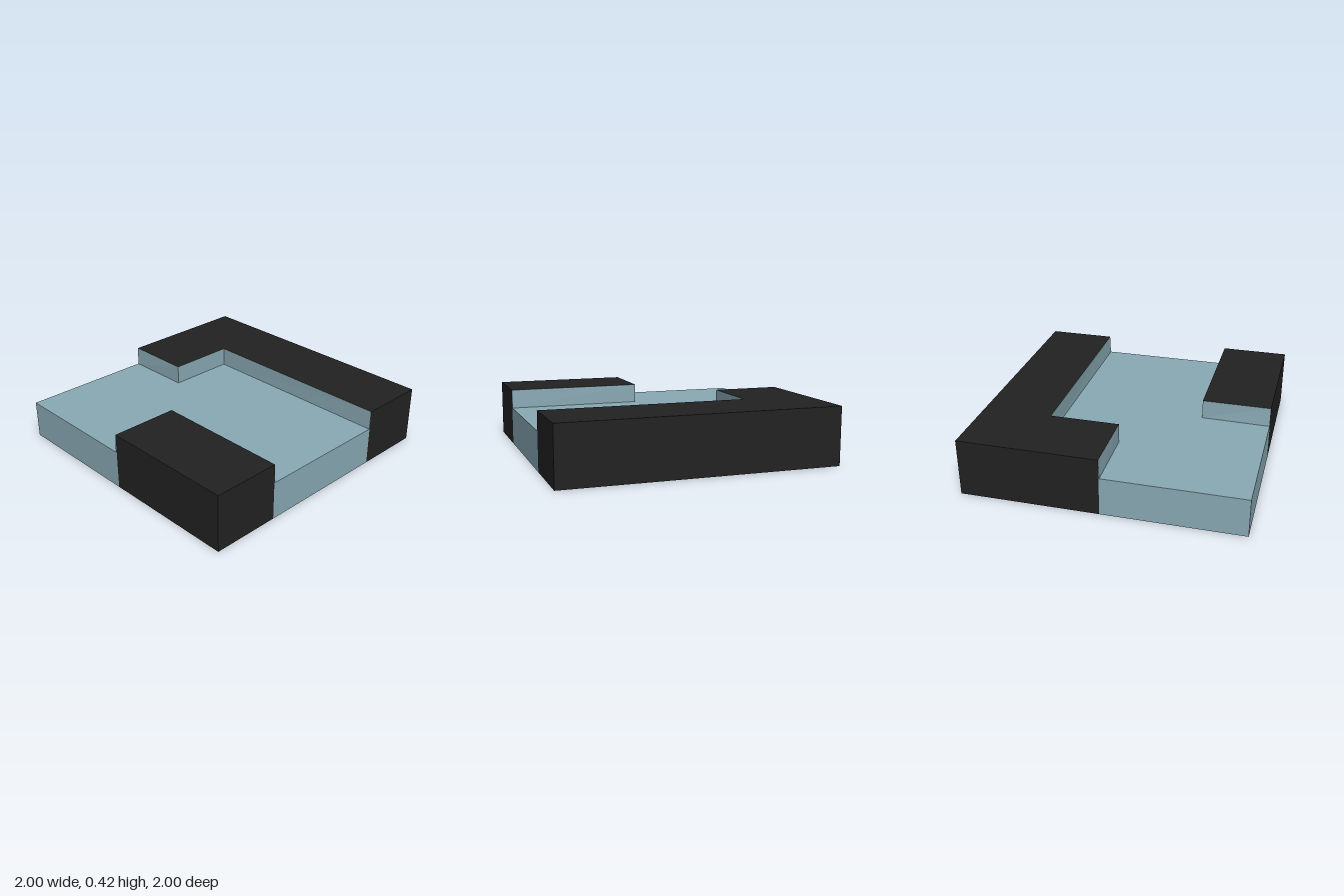
import * as THREE from 'three';
import { mergeGeometries } from 'three/addons/utils/BufferGeometryUtils.js';

const FLOOR = 0.28, TOP = 0.42;

// Flat polygon from [x, z] points at height y, facing up or down
function cap(points, y, up) {
  const s = up ? -1 : 1;
  const shape = new THREE.Shape(points.map(([x, z]) => new THREE.Vector2(x, s * z)));
  const g = new THREE.ShapeGeometry(shape).rotateX(s * Math.PI / 2).translate(0, y, 0).toNonIndexed();
  g.deleteAttribute('uv');
  return g;
}

// Upright face from p to q ([x, z]); the feet may flare out from the top edge
function wall(p, q, y0, y1, footP = p, footQ = q) {
  const at = ([x, z], y) => [x, y, z];
  const a = at(footP, y0), b = at(footQ, y0), c = at(q, y1), d = at(p, y1);
  const v = [...a, ...b, ...c];
  if (p !== q) v.push(...a, ...c, ...d);
  const g = new THREE.BufferGeometry();
  g.setAttribute('position', new THREE.Float32BufferAttribute(v, 3));
  g.computeVertexNormals();
  return g;
}

// Chain of upright faces along a path
const walls = (path, y0, y1) => path.slice(1).map((q, i) => wall(path[i], q, y0, y1));

export function createModel() {
  const group = new THREE.Group();
  const black = new THREE.MeshStandardMaterial({ color: 0x222222 });
  black.name = 'black';
  const blue = new THREE.MeshStandardMaterial({ color: 0x8aaab5 });
  blue.name = 'greyBlue';

  const add = (name, parts, material) => {
    const mesh = new THREE.Mesh(mergeGeometries(parts), material);
    mesh.name = name;
    group.add(mesh);
  };

  // Sunken floor with its open outer sides
  const floor = [[-1, 0], [-0.5, 0], [-0.5, -0.5], [1, -0.5], [1, 0.5], [0, 0.5], [0, 1], [-1, 1]];
  add('floor', [
    cap(floor, FLOOR, true), cap(floor, 0, false),
    ...walls([[-1, 0], [-1, 1], [0, 1]], 0, FLOOR),
    ...walls([[1, 0.5], [1, -0.5]], 0, FLOOR),
  ], blue);

  // Raised L-shaped block along the back and raised block at the front corner
  const blocks = {
    backBlock: {
      outline: [[-1, -1], [1, -1], [1, -0.5], [-0.5, -0.5], [-0.5, 0], [-1, 0]],
      outer: [[1, -0.5], [1, -1], [-1, -1], [-1, 0]],
    },
    frontBlock: {
      outline: [[0, 0.5], [1, 0.5], [1, 1], [0, 1]],
      outer: [[0, 1], [1, 1], [1, 0.5]],
    },
  };
  for (const [name, { outline, outer }] of Object.entries(blocks)) {
    add(name, [cap(outline, TOP, true), cap(outline, 0, false), ...walls(outer, 0, TOP)], black);
  }

  // Step faces between floor and blocks, flaring slightly at the outer ends
  const step = (path, footStart, footEnd) => {
    const last = path.length - 1, start = path[0], end = path[last];
    const faces = path.slice(1).map((q, i) => wall(path[i], q, FLOOR, TOP,
      i === 0 ? footStart : path[i], i + 1 === last ? footEnd : q));
    // Small gussets closing the flared ends
    faces.push(wall(start, start, FLOOR, TOP, start, footStart));
    faces.push(wall(end, end, FLOOR, TOP, footEnd, end));
    return faces;
  };
  add('backStep', step([[-1, 0], [-0.5, 0], [-0.5, -0.5], [1, -0.5]], [-1, 0.005], [1, -0.495]), blue);
  add('frontStep', step([[1, 0.5], [0, 0.5], [0, 1]], [1, 0.495], [-0.01, 1]), blue);

  return group;
}
